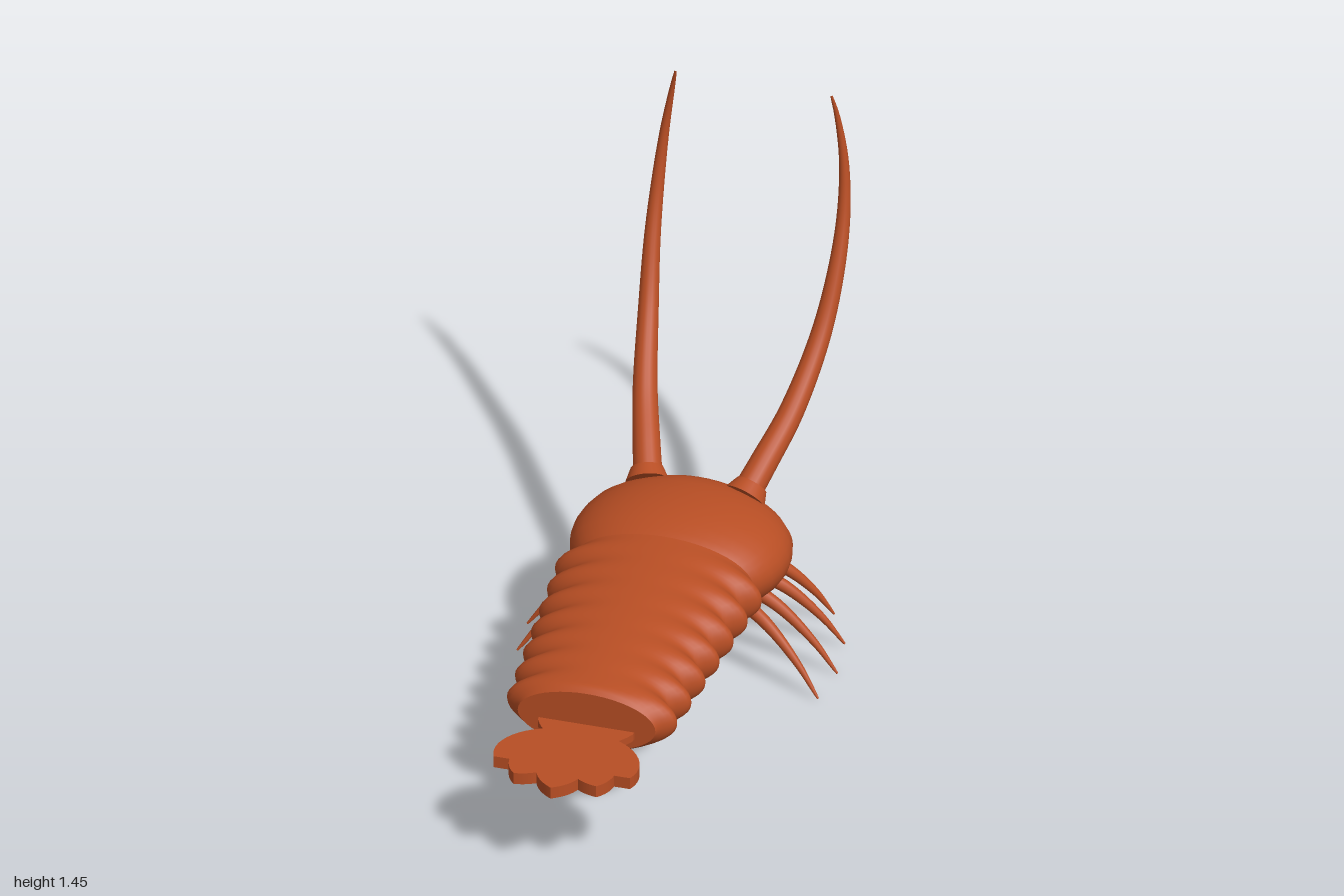
import * as THREE from 'three';

const shell = new THREE.MeshStandardMaterial({ color: 0xb84e24 });
shell.name = 'rust shell';

function part(name, geometry) {
  const mesh = new THREE.Mesh(geometry, shell);
  mesh.name = name;
  return mesh;
}

// Elliptical body from sections [z, halfWidth, bottom, top], capped at both ends
function loft(sections, sides = 48) {
  const pos = [], index = [], n = sections.length;
  const ring = ([z, w, lo, hi]) => {
    for (let j = 0; j < sides; j++) {
      const a = (j / sides) * Math.PI * 2;
      pos.push(w * Math.cos(a), (lo + hi) / 2 + ((hi - lo) / 2) * Math.sin(a), z);
    }
  };
  sections.forEach(ring);
  for (let i = 0; i < n - 1; i++) {
    for (let j = 0; j < sides; j++) {
      const k = (j + 1) % sides;
      const a = i * sides + j, b = i * sides + k, c = a + sides, d = b + sides;
      index.push(a, b, c, b, d, c);
    }
  }
  [sections[0], sections[n - 1]].forEach((s, e) => {
    const start = pos.length / 3;
    ring(s);
    pos.push(0, (s[2] + s[3]) / 2, s[0]);
    for (let j = 0; j < sides; j++) {
      const a = start + j, b = start + ((j + 1) % sides);
      index.push(start + sides, e ? a : b, e ? b : a);
    }
  });
  const g = new THREE.BufferGeometry();
  g.setAttribute('position', new THREE.Float32BufferAttribute(pos, 3));
  g.setIndex(index);
  g.computeVertexNormals();
  return g;
}

// Tube along points, with the radius given as a function of its length
function taperedTube(points, radius, steps, sides = 14) {
  const curve = new THREE.CatmullRomCurve3(points.map((p) => new THREE.Vector3(...p)));
  const g = new THREE.TubeGeometry(curve, steps, 1, sides);
  const p = g.attributes.position, v = new THREE.Vector3();
  for (let i = 0; i <= steps; i++) {
    const c = curve.getPointAt(i / steps), r = radius(i / steps);
    for (let j = 0; j <= sides; j++) {
      const k = i * (sides + 1) + j;
      v.fromBufferAttribute(p, k).sub(c).multiplyScalar(r).add(c);
      p.setXYZ(k, v.x, v.y, v.z);
    }
  }
  return g;
}

// Flat plate in plan, extruded upwards; shape y becomes z
function plate(shape, low, high) {
  const g = new THREE.ExtrudeGeometry(shape, { depth: high - low, bevelEnabled: false, curveSegments: 12 });
  g.rotateX(Math.PI / 2);
  g.translate(0, high, 0);
  return g;
}

export function createModel() {
  const model = new THREE.Group();
  model.name = 'crustacean';

  // Ribbed abdomen: seven segments swelling sideways
  const ribs = [], segments = 7, per = 10;
  for (let i = 0; i <= segments * per; i++) {
    const t = i / (segments * per);
    const swell = 0.5 - 0.5 * Math.cos(t * segments * Math.PI * 2);
    const soft = Math.max(0, (t - 0.965) / 0.035) ** 2 * 0.014;
    ribs.push([-0.1 + 0.75 * t, 0.262 - 0.062 * t + 0.043 * swell, 0.24 + soft, 0.49 - 0.046 * t - soft]);
  }
  model.add(part('abdomen', loft(ribs)));

  // Rounded head shell
  const head = [
    [-0.488, 0.01, 0.33, 0.35], [-0.486, 0.06, 0.29, 0.39], [-0.48, 0.115, 0.265, 0.42],
    [-0.465, 0.175, 0.243, 0.453], [-0.44, 0.228, 0.224, 0.479], [-0.41, 0.266, 0.212, 0.494],
    [-0.37, 0.294, 0.204, 0.504], [-0.32, 0.308, 0.199, 0.51], [-0.27, 0.313, 0.197, 0.512],
    [-0.22, 0.308, 0.2, 0.511], [-0.17, 0.294, 0.211, 0.505], [-0.13, 0.272, 0.225, 0.495],
    [-0.108, 0.253, 0.236, 0.487], [-0.099, 0.243, 0.242, 0.482],
  ];
  model.add(part('head', loft(head)));

  // Leg bases and tips: [baseZ, tipX, tipY, tipZ]
  const legs = [
    [-0.225, 0.437, 0.012, -0.137], [-0.295, 0.45, 0.01, -0.28],
    [-0.367, 0.43, 0.02, -0.418], [-0.435, 0.365, 0.036, -0.533],
  ];

  for (const s of [1, -1]) {
    const side = s > 0 ? 'left' : 'right';

    // Long curved antenna with its socket
    const path = [
      [0.14, 0.455, -0.415], [0.17, 0.52, -0.5], [0.213, 0.62, -0.63], [0.25, 0.78, -0.785],
      [0.268, 0.95, -0.883], [0.27, 1.1, -0.945], [0.26, 1.25, -0.977], [0.239, 1.39, -0.98], [0.226, 1.456, -0.97],
    ].map(([x, y, z]) => [s * x, y, z]);
    model.add(part(side + 'Antenna', taperedTube(path, (t) => 0.003 + 0.039 * (1 - t) ** 0.75, 48, 18)));

    const socket = part(side + 'AntennaSocket', new THREE.CylinderGeometry(0.046, 0.062, 0.04, 24));
    socket.position.set(s * 0.147, 0.465, -0.43);
    socket.quaternion.setFromUnitVectors(
      new THREE.Vector3(0, 1, 0), new THREE.Vector3(s * 0.27, 0.59, -0.76).normalize());
    model.add(socket);

    // Four arched legs
    legs.forEach(([z, tx, ty, tz], i) => {
      const at = (u, h) => [s * (0.17 + (tx - 0.17) * u), ty + (0.25 - ty) * h, z + (tz - z) * u];
      const leg = [at(0, 1), at(0.38, 0.77), at(0.75, 0.38), at(1, 0)];
      model.add(part(side + 'Leg' + (i + 1), taperedTube(leg, (t) => 0.003 + 0.02 * (1 - t) ** 0.8, 20, 12)));
    });
  }

  // Neck plate between abdomen and tail fan
  const neck = new THREE.Shape();
  neck.moveTo(-0.14, 0.63);
  neck.lineTo(0.14, 0.63);
  neck.lineTo(0.138, 0.66);
  neck.quadraticCurveTo(0.125, 0.69, 0.1, 0.715);
  neck.quadraticCurveTo(0, 0.75, -0.1, 0.715);
  neck.quadraticCurveTo(-0.125, 0.69, -0.138, 0.66);
  model.add(part('tailNeck', plate(neck, 0.305, 0.328)));

  // Scalloped tail fan
  const fan = new THREE.Shape();
  fan.moveTo(-0.1, 0.71);
  fan.quadraticCurveTo(0, 0.745, 0.1, 0.71);
  fan.bezierCurveTo(0.18, 0.74, 0.23, 0.82, 0.198, 0.89);
  fan.lineTo(0.152, 0.89);
  fan.quadraticCurveTo(0.148, 0.93, 0.12, 0.957);
  fan.quadraticCurveTo(0.085, 0.952, 0.06, 0.935);
  fan.quadraticCurveTo(0.045, 0.975, 0, 1);
  fan.quadraticCurveTo(-0.045, 0.975, -0.06, 0.935);
  fan.quadraticCurveTo(-0.085, 0.952, -0.12, 0.957);
  fan.quadraticCurveTo(-0.148, 0.93, -0.152, 0.89);
  fan.lineTo(-0.198, 0.89);
  fan.bezierCurveTo(-0.23, 0.82, -0.18, 0.74, -0.1, 0.71);
  model.add(part('tailFan', plate(fan, 0.299, 0.335)));

  return model;
}
